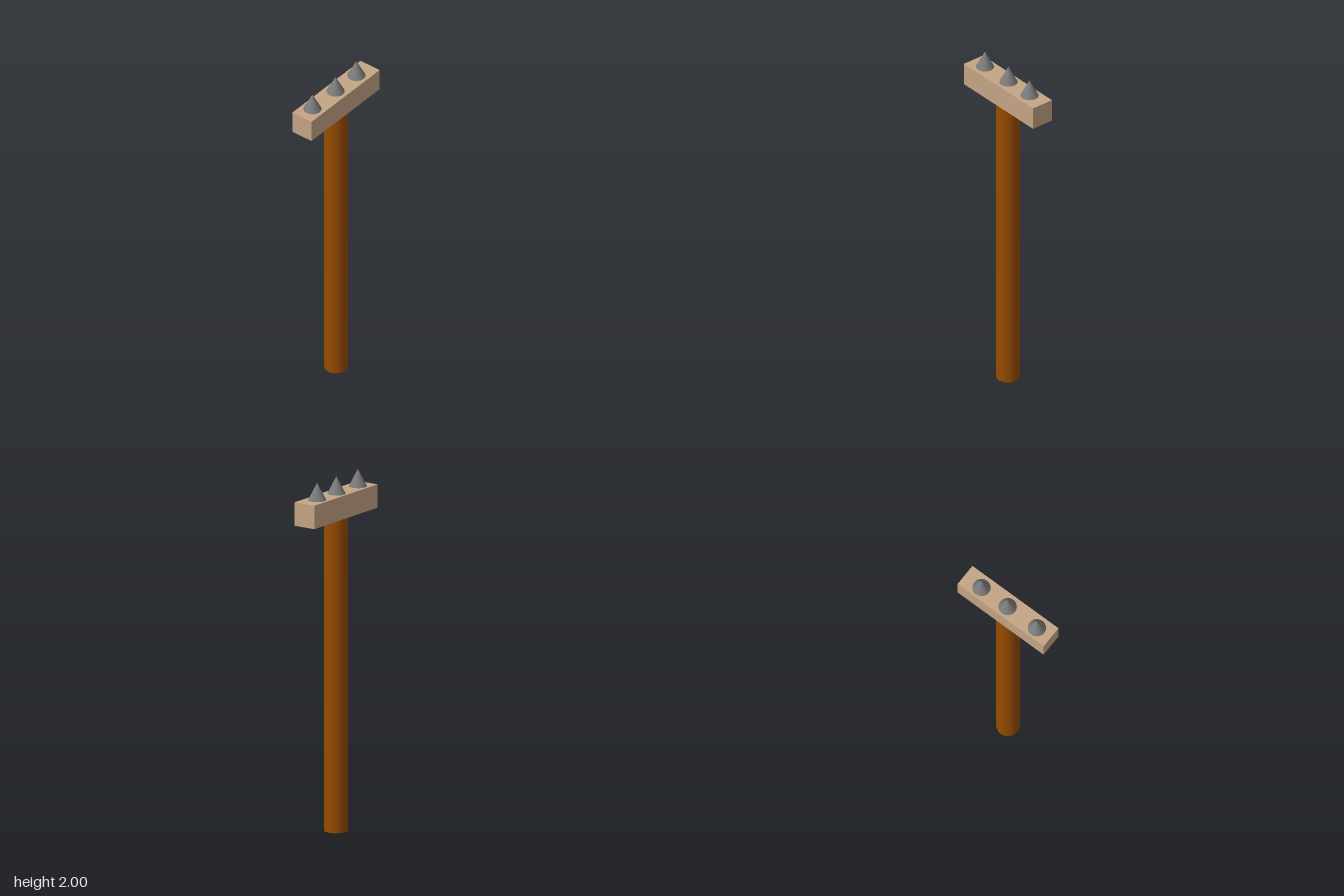
import * as THREE from 'three';

export function createModel() {
  const model = new THREE.Group();

  const add = (name, geometry, color, x, y, z) => {
    const mesh = new THREE.Mesh(geometry, new THREE.MeshStandardMaterial({ color }));
    mesh.name = name;
    mesh.position.set(x, y, z);
    model.add(mesh);
  };

  const headBottom = 1.77, headTop = 1.902;
  const headHeight = headTop - headBottom;

  // Long round handle, standing on the ground
  add('handle', new THREE.CylinderGeometry(0.065, 0.065, headBottom, 48), 0x964b00, 0, headBottom / 2, 0);

  // Wooden crossbar head
  add('head', new THREE.BoxGeometry(0.595, headHeight, 0.134), 0xc4a484, 0, headBottom + headHeight / 2, 0);

  // Three metal spikes, slightly uneven in spacing
  const spikeHeight = 2 - headTop;
  [['rightSpike', -0.202], ['middleSpike', 0], ['leftSpike', 0.181]].forEach(([name, x]) => {
    add(name, new THREE.ConeGeometry(0.05, spikeHeight, 48), 0x7a7a7a, x, headTop + spikeHeight / 2, -0.003);
  });

  return model;
}
